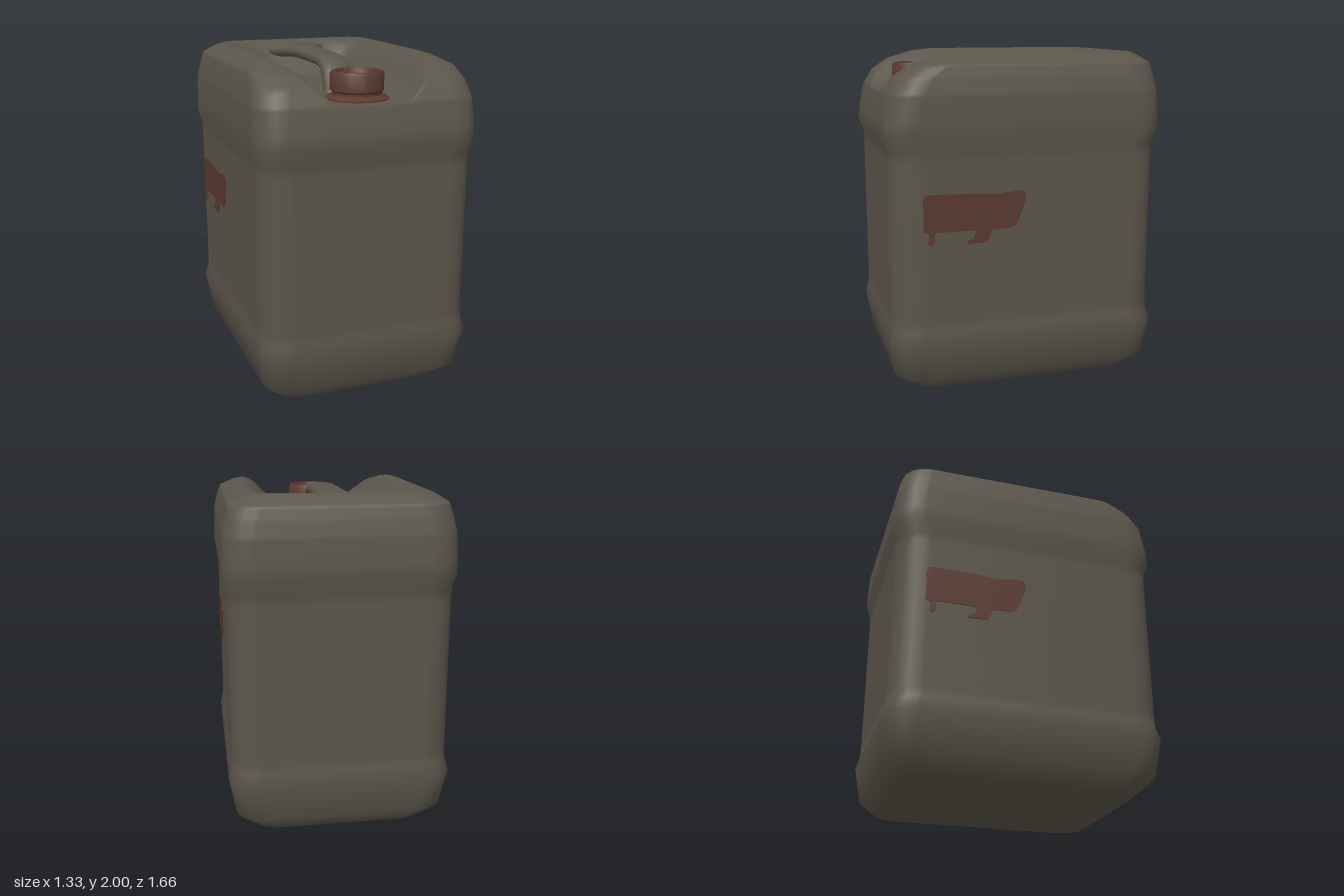
import * as THREE from 'three';
import { toCreasedNormals } from 'three/addons/utils/BufferGeometryUtils.js';

// Skin a list of closed rings (equal point counts) into a smooth surface
function loft(rings) {
  const n = rings[0].length;
  const index = [];
  for (let i = 0; i < rings.length - 1; i++) {
    for (let j = 0; j < n; j++) {
      const a = i * n + j, b = i * n + (j + 1) % n;
      index.push(a, a + n, b, b, a + n, b + n);
    }
  }
  const geometry = new THREE.BufferGeometry();
  geometry.setAttribute('position', new THREE.Float32BufferAttribute(rings.flat(2), 3));
  geometry.setIndex(index);
  geometry.computeVertexNormals();
  return geometry;
}

// Rounded rectangle at height y, from -zb to zf, with evenly divided sides
function roundedRing(y, hx, zf, zb, r) {
  const centres = [[hx - r, zf - r], [r - hx, zf - r], [r - hx, r - zb], [hx - r, r - zb]];
  const arc = 4, side = 44, ring = [];
  centres.forEach(([cx, cz], k) => {
    for (let i = 0; i <= arc; i++) {
      const a = (k + i / arc) * Math.PI / 2;
      ring.push([cx + r * Math.cos(a), y, cz + r * Math.sin(a)]);
    }
    const [nx, nz] = centres[(k + 1) % 4];
    const a = (k + 1) * Math.PI / 2;
    for (let i = 1; i < side; i++) {
      const t = i / side;
      ring.push([cx + (nx - cx) * t + r * Math.cos(a), y, cz + (nz - cz) * t + r * Math.sin(a)]);
    }
  });
  return ring;
}

// Height of the handle recess: open to the front, rising at the sides and back
function recessHeight(x, z) {
  const u = THREE.MathUtils.smoothstep(Math.abs(x), 0.17, 0.5);
  const v = THREE.MathUtils.smoothstep(-z, 0.44, 0.64);
  return 1.775 + 0.228 * (1 - (1 - u) * (1 - v));
}

function bodyGeometry() {
  // y, half width, front reach, back reach, corner radius
  const rows = [
    [0.005, 0, 0, 0, 0],
    [0.005, 0.36, 0.55, 0.58, 0.1],
    [0.02, 0.51, 0.68, 0.70, 0.14],
    [0.12, 0.62, 0.79, 0.79, 0.15],
    [0.34, 0.66, 0.825, 0.825, 0.15],
    [0.42, 0.642, 0.807, 0.802, 0.15],
    [0.48, 0.64, 0.805, 0.80, 0.15],
    [1.40, 0.644, 0.805, 0.80, 0.15],
    [1.46, 0.646, 0.807, 0.802, 0.15],
    [1.55, 0.665, 0.835, 0.83, 0.15],
    [1.63, 0.664, 0.825, 0.828, 0.15],
    [1.77, 0.66, 0.80, 0.82, 0.15],
    [1.87, 0.64, 0.74, 0.80, 0.15],
    [1.94, 0.62, 0.64, 0.78, 0.15],
    [1.985, 0.55, 0.50, 0.72, 0.14],
    [2.0, 0.51, 0.42, 0.69, 0.13],
  ];
  const rings = [];
  rows.forEach((row, i) => {
    // extra rings through the upper shoulder, where the recess cuts in
    const steps = row[0] > 1.8 ? 5 : 1;
    for (let s = 1; s <= steps; s++) {
      const prev = rows[Math.max(i - 1, 0)];
      rings.push(roundedRing(...row.map((v, k) => prev[k] + (v - prev[k]) * s / steps)));
    }
  });
  // top surface closing towards the middle
  const [y, ...last] = rows[rows.length - 1];
  for (let t = 29; t >= 0; t--) rings.push(roundedRing(y, ...last.map((v) => v * t / 30)));
  for (const p of rings.flat()) {
    if (p[1] > 1.7) p[1] = Math.min(p[1], recessHeight(p[0], p[2]));
  }
  return loft(rings);
}

function handleGeometry() {
  // z, y, half width, half thickness, from the front foot to the back wall
  const rows = [
    [0.30, 1.73, 0.12, 0.06],
    [0.255, 1.79, 0.098, 0.055],
    [0.215, 1.86, 0.092, 0.05],
    [0.17, 1.915, 0.09, 0.045],
    [0.11, 1.938, 0.09, 0.042],
    [0.0, 1.945, 0.09, 0.042],
    [-0.2, 1.947, 0.09, 0.042],
    [-0.34, 1.947, 0.092, 0.042],
    [-0.43, 1.946, 0.105, 0.043],
    [-0.50, 1.944, 0.13, 0.045],
    [-0.55, 1.942, 0.18, 0.05],
    [-0.62, 1.93, 0.24, 0.055],
  ];
  return loft(rows.map(([z, y, w, h], i) => {
    const a = rows[Math.max(i - 1, 0)], b = rows[Math.min(i + 1, rows.length - 1)];
    const length = Math.hypot(b[0] - a[0], b[1] - a[1]);
    const ny = (a[0] - b[0]) / length, nz = (b[1] - a[1]) / length;
    const bulge = (v) => Math.sign(v) * Math.abs(v) ** 0.75;
    return Array.from({ length: 20 }, (_, j) => {
      const angle = j / 20 * Math.PI * 2;
      const n = h * bulge(Math.sin(angle));
      return [w * bulge(Math.cos(angle)), y + ny * n, z + nz * n];
    });
  }));
}

// Flanged screw cap with a dished top
function capGeometry() {
  const profile = [
    [0, 1.75], [0.183, 1.755], [0.185, 1.782], [0.165, 1.795], [0.143, 1.802], [0.143, 1.815],
    [0.155, 1.825], [0.155, 1.918], [0.146, 1.932], [0.126, 1.932], [0.115, 1.9], [0, 1.89],
  ].map(([x, y]) => new THREE.Vector2(x, y));
  return toCreasedNormals(new THREE.LatheGeometry(profile, 20), 0.7);
}

// Worn paint patch with drips, as a thin plate facing +x
function patchGeometry() {
  const outline = [
    [0.635, 1.20], [0.625, 1.222], [0.6, 1.23], [0.37, 1.225], [0.2, 1.215], [0.1, 1.23], [0.045, 1.225],
    [0.03, 1.19], [0.075, 1.06], [0.095, 1.025], [0.13, 1.01], [0.235, 1.008], [0.245, 0.98], [0.27, 0.935],
    [0.385, 0.932], [0.38, 0.95], [0.345, 0.965], [0.33, 1.01], [0.57, 1.01], [0.575, 0.95],
    [0.59, 0.935], [0.61, 0.94], [0.605, 1.005], [0.635, 1.015],
  ].map(([z, y]) => new THREE.Vector2(-z, y));
  const geometry = new THREE.ExtrudeGeometry(new THREE.Shape(outline), { depth: 0.008, bevelEnabled: false });
  return geometry.rotateY(Math.PI / 2).translate(0.6395, 0, 0);
}

export function createModel() {
  const plastic = new THREE.MeshStandardMaterial({ color: 0x5b564a });
  plastic.name = 'olive grey plastic';
  const red = new THREE.MeshStandardMaterial({ color: 0x5b392f });
  red.name = 'rust red';

  const model = new THREE.Group();
  model.name = 'fuelCan';
  const add = (name, geometry, material) => {
    const mesh = new THREE.Mesh(geometry, material);
    mesh.name = name;
    model.add(mesh);
    return mesh;
  };

  add('body', bodyGeometry(), plastic);
  add('handle', handleGeometry(), plastic);
  add('cap', capGeometry(), red).position.z = 0.53;

  // the same patch on both sides, turned half a circle
  const patch = patchGeometry();
  add('leftPatch', patch, red);
  add('rightPatch', patch, red).rotation.y = Math.PI;
  return model;
}
